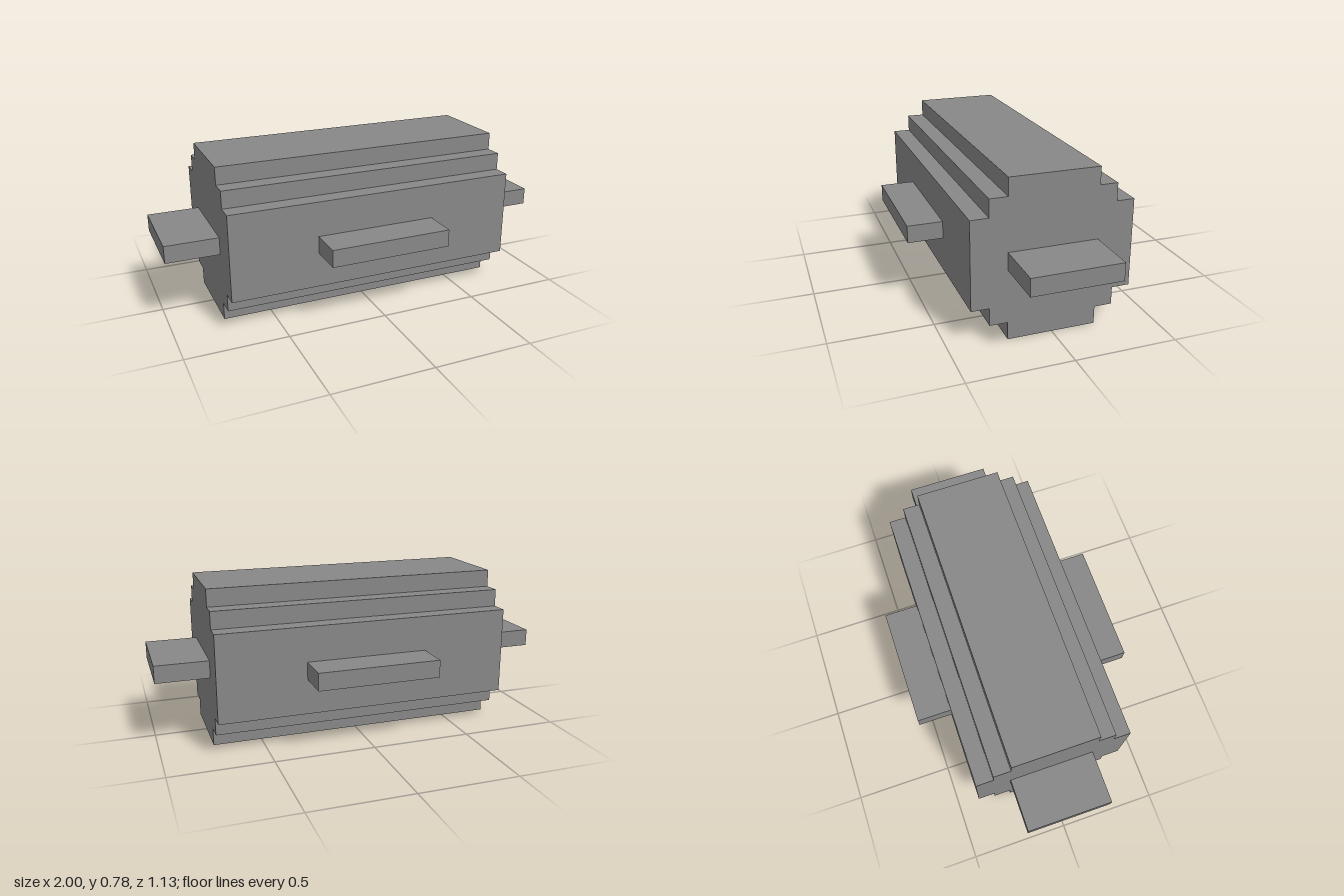
import * as THREE from 'three';

const U = 2 / 23; // one grid unit; the model is 23 units long

export function createModel() {
  const group = new THREE.Group();
  const grey = new THREE.MeshStandardMaterial({ color: 0x888888 });
  grey.name = 'grey';

  const add = (name, geometry, x, y, z) => {
    const mesh = new THREE.Mesh(geometry, grey);
    mesh.name = name;
    mesh.position.set(x * U, y * U, z * U);
    group.add(mesh);
  };

  // Body: stepped octagonal section, extruded along x
  const quarter = [[2.5, 4.5], [2.5, 3.5], [3.5, 3.5], [3.5, 2.5], [4.5, 2.5]];
  const mirrored = [...quarter].reverse();
  const section = [
    ...quarter,
    ...mirrored.map(([a, b]) => [a, -b]),
    ...quarter.map(([a, b]) => [-a, -b]),
    ...mirrored.map(([a, b]) => [-a, b]),
  ].map(([a, b]) => new THREE.Vector2(a * U, b * U));
  const body = new THREE.ExtrudeGeometry(new THREE.Shape(section), {
    depth: 17 * U,
    bevelEnabled: false,
  });
  body.translate(0, 0, -8.5 * U).rotateY(Math.PI / 2);
  add('body', body, 0, 4.5, 0);

  // Flat tabs on the ends and on the long sides
  for (const s of [1, -1]) {
    add(s > 0 ? 'leftEndTab' : 'rightEndTab',
      new THREE.BoxGeometry(3 * U, U, 5 * U), s * 10, 4.5, 0);
    add(s > 0 ? 'frontTab' : 'backTab',
      new THREE.BoxGeometry(7 * U, U, 2 * U), 0, 4.5, s * 5.5);
  }
  return group;
}
